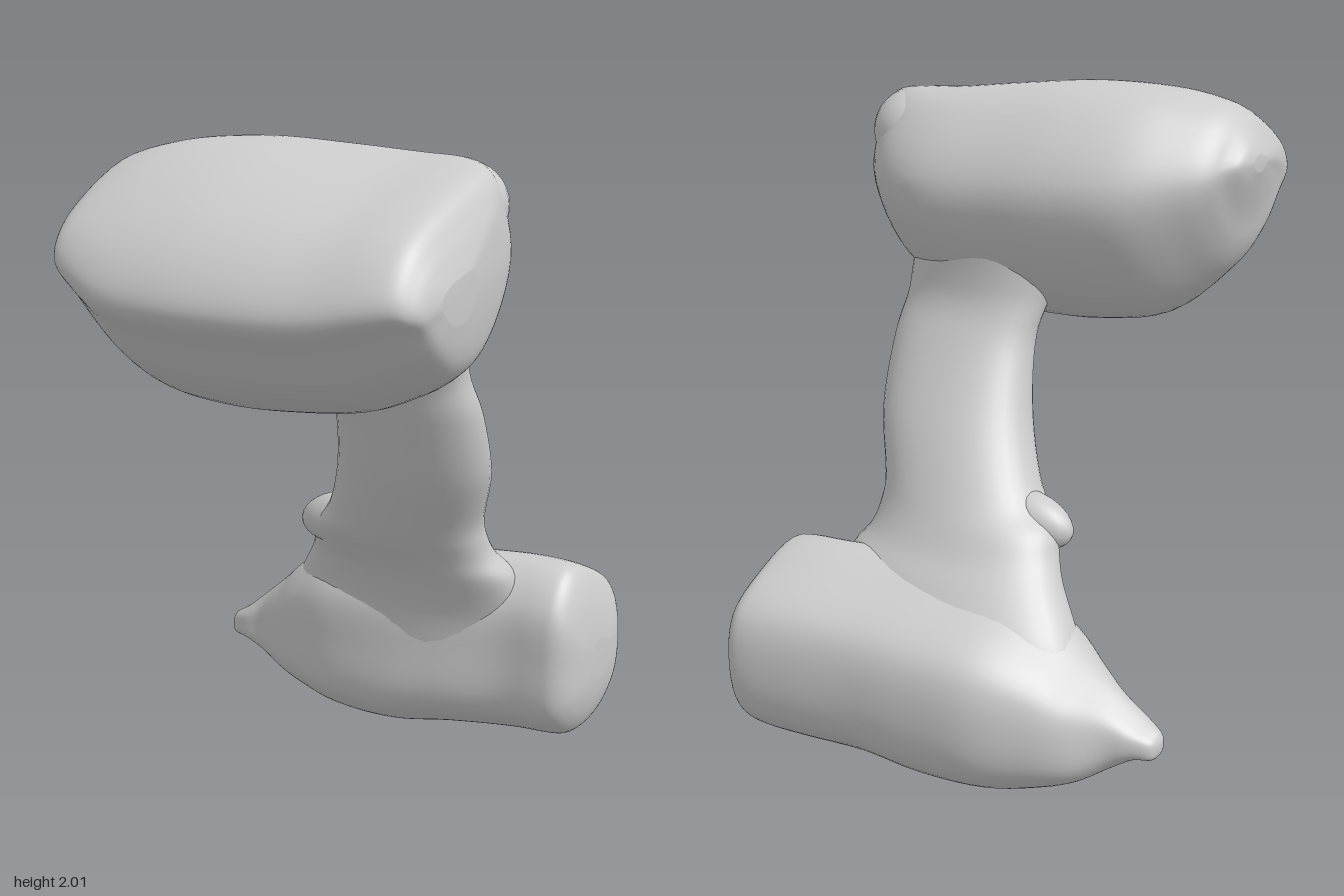
import * as THREE from 'three';

const material = new THREE.MeshStandardMaterial({ color: 0xcccccc });

// Catmull-Rom resampling of a list of number rows
function resample(rows, steps) {
  const out = [];
  const row = (i) => rows[Math.max(0, Math.min(rows.length - 1, i))];
  for (let i = 0; i < rows.length - 1; i++) {
    for (let s = 0; s < steps; s++) {
      const t = s / steps;
      out.push(rows[i].map((b, k) => {
        const a = row(i - 1)[k], c = row(i + 1)[k], d = row(i + 2)[k];
        return b + 0.5 * t * (c - a + t * (2 * a - 5 * b + 4 * c - d + t * (3 * (b - c) + d - a)));
      }));
    }
  }
  out.push(rows[rows.length - 1]);
  return out;
}

// Skin over sections along an axis; row = [position, uMin, uMax, vMin, vMax]
// (u, v) is (y, z) along x and (z, x) along y
function loft(name, axis, rows, section, steps = 5) {
  const positions = [], index = [];
  const stations = resample(rows, steps);
  let n = 0;
  const push = (c, u, v) => positions.push(...(axis === 'x' ? [c, u, v] : [v, c, u]));
  for (const [c, u0, u1, v0, v1] of stations) {
    const ring = section(c);
    n = ring.length;
    for (const [u, v] of ring) {
      push(c, (u0 + u1) / 2 + u * (u1 - u0) / 2, (v0 + v1) / 2 + v * (v1 - v0) / 2);
    }
  }
  for (let i = 0; i < stations.length - 1; i++) {
    for (let j = 0; j < n; j++) {
      const k = (j + 1) % n, a = i * n, b = a + n;
      index.push(a + j, a + k, b + k, a + j, b + k, b + j);
    }
  }
  // End caps
  const last = (stations.length - 1) * n;
  for (const end of [0, last]) {
    const [c, u0, u1, v0, v1] = stations[end / n];
    const mid = positions.length / 3;
    push(c, (u0 + u1) / 2, (v0 + v1) / 2);
    for (let j = 0; j < n; j++) {
      const k = (j + 1) % n;
      if (end) index.push(mid, end + j, end + k);
      else index.push(mid, k, j);
    }
  }
  const geometry = new THREE.BufferGeometry();
  geometry.setAttribute('position', new THREE.Float32BufferAttribute(positions, 3));
  geometry.setIndex(index);
  geometry.computeVertexNormals();
  const mesh = new THREE.Mesh(geometry, material);
  mesh.name = name;
  return mesh;
}

// Smooth closed section through a few points
function smoothSection(points) {
  const curve = new THREE.CatmullRomCurve3(points.map(([u, v]) => new THREE.Vector3(u, v, 0)), true);
  return curve.getPoints(60).slice(0, 60).map((q) => [q.x, q.y]);
}

// Oval grip section
const gripSection = () => Array.from({ length: 40 }, (_, i) => {
  const a = i / 40 * Math.PI * 2, c = Math.cos(a), s = Math.sin(a);
  return [Math.sign(c) * Math.abs(c) ** 0.92, Math.sign(s) * Math.abs(s) ** 0.92];
});

// Rounded housing section, sloping down towards the back
const housingSection = () => smoothSection([[1, 0.45], [0.6, 0.93], [0, 1], [-0.62, 0.93], [-0.98, 0.45],
  [-0.98, -0.35], [-0.6, -0.88], [0, -1], [0.5, -0.86], [0.83, -0.3]]);

// Tilted wedge section whose crest slides back towards the model's left
function packSection(x) {
  const p = THREE.MathUtils.clamp(-0.45 - 0.4 * x, -0.68, -0.3);
  return smoothSection([[1, p], [0.96, p + 0.32], [0.56, 0.6], [0.2, 0.91], [-0.12, 1], [-0.38, 0.82],
    [-0.74, 0.56], [-1, 0.15], [-0.95, -0.3], [-0.57, -0.7], [0.2, -1], [0.8, (p - 1) / 2]]);
}

function ellipsoid(name, size, position, tilt) {
  const mesh = new THREE.Mesh(new THREE.SphereGeometry(1, 24, 16), material);
  mesh.name = name;
  mesh.scale.set(...size);
  mesh.position.set(...position);
  mesh.rotation.z = tilt;
  return mesh;
}

export function createModel() {
  const model = new THREE.Group();
  model.name = 'cordlessDrill';

  // Motor housing tapering to the chuck tip
  model.add(loft('motorHousing', 'x', [
    [-0.67, 0.2, 0.23, -0.375, -0.345],
    [-0.655, 0.175, 0.255, -0.41, -0.325],
    [-0.6, 0.165, 0.29, -0.44, -0.305],
    [-0.53, 0.125, 0.35, -0.48, -0.3],
    [-0.45, 0.08, 0.42, -0.57, -0.265],
    [-0.35, 0.045, 0.51, -0.635, -0.225],
    [-0.2, 0.012, 0.59, -0.7, -0.185],
    [0, 0.004, 0.62, -0.725, -0.19],
    [0.2, 0.03, 0.63, -0.74, -0.23],
    [0.4, 0.04, 0.635, -0.77, -0.285],
    [0.53, 0.045, 0.63, -0.785, -0.295],
    [0.59, 0.06, 0.61, -0.775, -0.305],
    [0.63, 0.11, 0.54, -0.725, -0.34],
    [0.655, 0.18, 0.45, -0.66, -0.4],
    [0.665, 0.25, 0.38, -0.6, -0.46],
  ], housingSection));

  // Slanted grip, flaring into the housing and the pack
  model.add(loft('handle', 'y', [
    [0.3, -0.6, -0.21, -0.4, 0.36],
    [0.42, -0.59, -0.198, -0.41, 0.4],
    [0.5, -0.57, -0.185, -0.37, 0.43],
    [0.6, -0.5, -0.145, -0.295, 0.43],
    [0.67, -0.44, -0.1, -0.25, 0.39],
    [0.74, -0.395, -0.05, -0.215, 0.38],
    [0.82, -0.35, -0.005, -0.13, 0.39],
    [1, -0.255, 0.085, -0.04, 0.46],
    [1.2, -0.135, 0.165, 0.01, 0.485],
    [1.32, -0.07, 0.22, 0.0, 0.475],
    [1.42, -0.055, 0.32, -0.03, 0.48],
    [1.55, -0.06, 0.38, -0.05, 0.45],
  ], gripSection));

  // Trigger nub on the grip
  model.add(ellipsoid('trigger', [0.15, 0.085, 0.075], [-0.115, 0.745, -0.185], 0.2));

  // Battery pack
  model.add(loft('batteryPack', 'x', [
    [-0.602, 1.77, 1.82, 0.26, 0.35],
    [-0.585, 1.72, 1.85, 0.2, 0.44],
    [-0.55, 1.62, 1.89, 0.16, 0.58],
    [-0.515, 1.51, 1.92, 0.125, 0.69],
    [-0.45, 1.42, 1.955, 0.07, 0.74],
    [-0.3, 1.29, 1.99, -0.03, 0.78],
    [-0.1, 1.25, 2, -0.085, 0.775],
    [0.1, 1.25, 1.985, -0.12, 0.745],
    [0.3, 1.27, 1.965, -0.15, 0.7],
    [0.45, 1.33, 1.955, -0.12, 0.66],
    [0.54, 1.385, 1.92, -0.04, 0.625],
    [0.585, 1.43, 1.84, 0.04, 0.59],
    [0.61, 1.49, 1.76, 0.18, 0.55],
    [0.625, 1.57, 1.7, 0.3, 0.49],
  ], packSection));

  // Raised rear corner of the pack
  model.add(ellipsoid('packCorner', [0.13, 0.13, 0.13], [0.44, 1.825, 0.05], 0));

  return model;
}
